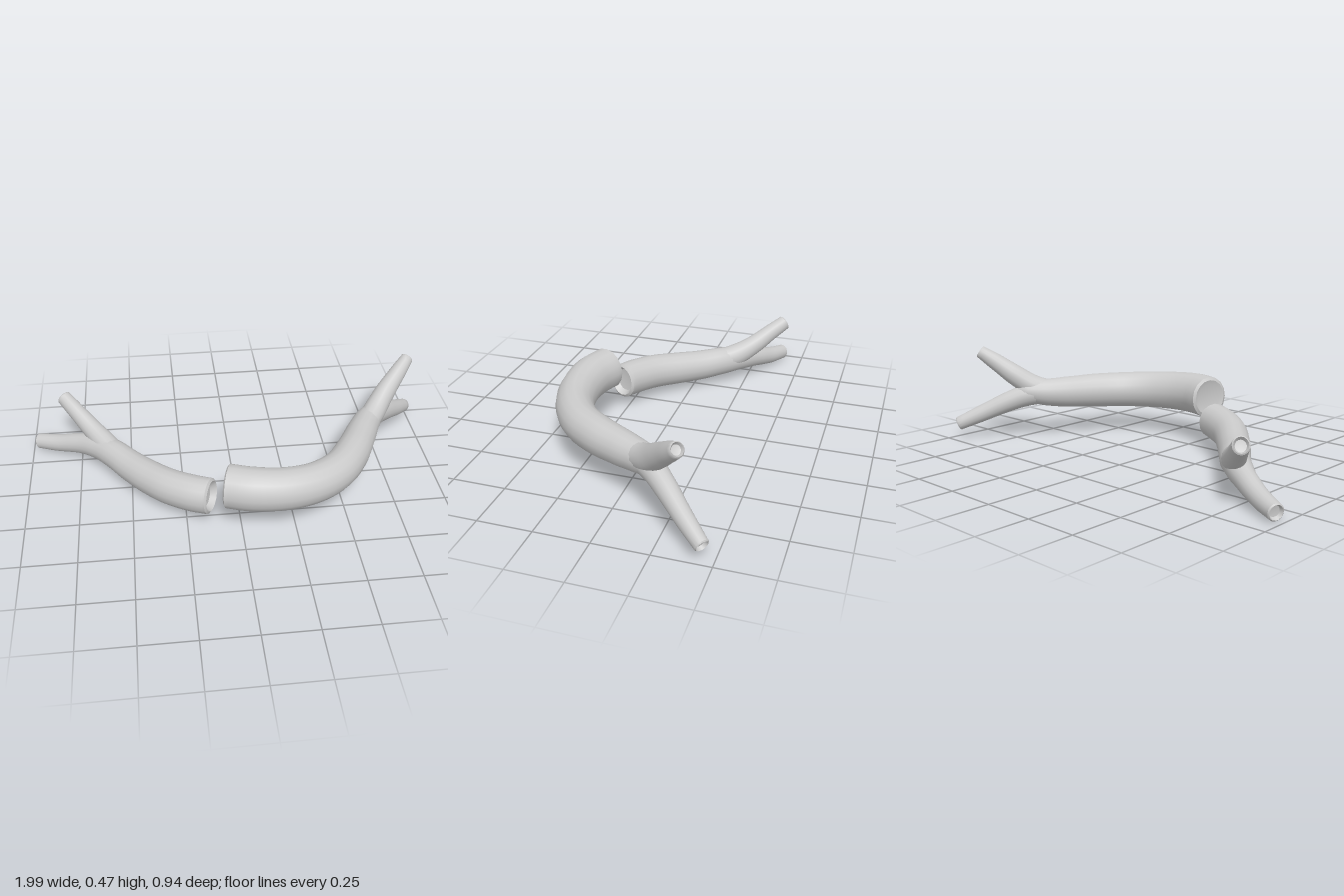
import * as THREE from 'three';
import { toCreasedNormals } from 'three/addons/utils/BufferGeometryUtils.js';

const SIDES = 16;
const UP = new THREE.Vector3(0, 1, 0);

// Sweeps a slightly tall oval along a curve; each stop is [x, y, z, radius].
// Both ends close with a shallow dish set inside a rim.
function sweep(stops, steps, startDish, endDish) {
  const curve = new THREE.CatmullRomCurve3(stops.map(([x, y, z]) => new THREE.Vector3(x, y, z)));
  const radiusAt = (t) => {
    const f = t * (stops.length - 1);
    const i = Math.min(Math.floor(f), stops.length - 2);
    return THREE.MathUtils.lerp(stops[i][3], stops[i + 1][3], THREE.MathUtils.smoothstep(f - i, 0, 1) * 0.4 + (f - i) * 0.6);
  };

  // rings: curve position, inward shift along the curve, radius scale
  const rings = [[0, startDish, 0], [0, startDish * 0.8, 0.65], [0, 0, 0.86], [0, 0.008, 1]];
  for (let i = 1; i < steps; i++) rings.push([i / steps, 0, 1]);
  rings.push([1, -0.005, 1], [1, 0, 0.86], [1, -endDish * 0.8, 0.65], [1, -endDish, 0]);

  const pos = [], index = [];
  for (const [t, shift, scale] of rings) {
    const T = curve.getTangent(t);
    const S = new THREE.Vector3().crossVectors(T, UP).normalize();
    const U = new THREE.Vector3().crossVectors(S, T);
    const c = curve.getPoint(t).addScaledVector(T, shift);
    const r = radiusAt(t) * scale;
    for (let j = 0; j < SIDES; j++) {
      const a = (j / SIDES) * Math.PI * 2;
      const p = c.clone().addScaledVector(S, Math.cos(a) * r * 0.93).addScaledVector(U, Math.sin(a) * r);
      pos.push(p.x, p.y, p.z);
    }
  }
  for (let i = 0; i < rings.length - 1; i++) {
    for (let j = 0; j < SIDES; j++) {
      const k = (j + 1) % SIDES;
      const a = i * SIDES + j, b = i * SIDES + k, c = a + SIDES, d = b + SIDES;
      if (i < rings.length - 2) index.push(a, c, d);
      if (i > 0) index.push(a, d, b);
      if (i === 0) continue;
    }
  }
  const g = new THREE.BufferGeometry();
  g.setAttribute('position', new THREE.Float32BufferAttribute(pos, 3));
  g.setIndex(index);
  return toCreasedNormals(g, 0.7);
}

export function createModel() {
  const model = new THREE.Group();
  model.name = 'forkedVessels';
  const material = new THREE.MeshStandardMaterial({ color: 0xcccccc });

  const addVessel = (name, parts) => {
    const group = new THREE.Group();
    group.name = name;
    for (const [part, stops, steps, startDish, endDish] of parts) {
      const mesh = new THREE.Mesh(sweep(stops, steps, startDish, endDish), material);
      mesh.name = part;
      group.add(mesh);
    }
    model.add(group);
  };

  // Long curved vessel on the left, splitting evenly into two
  addVessel('leftVessel', [
    ['leftTrunk', [
      [-0.07, 0.245, 0.328, 0.104], [0.05, 0.245, 0.366, 0.104], [0.2, 0.238, 0.37, 0.1],
      [0.34, 0.231, 0.332, 0.096], [0.46, 0.227, 0.25, 0.093], [0.55, 0.228, 0.13, 0.09],
      [0.62, 0.23, 0, 0.082], [0.675, 0.235, -0.1, 0.072], [0.735, 0.243, -0.18, 0.056],
      [0.77, 0.248, -0.215, 0.035],
    ], 36, 0.008, 0],
    ['leftUpperBranch', [
      [0.66, 0.235, -0.07, 0.06], [0.72, 0.264, -0.145, 0.06], [0.785, 0.325, -0.215, 0.054],
      [0.86, 0.395, -0.28, 0.044], [0.923, 0.452, -0.335, 0.033],
    ], 16, 0, 0.02],
    ['leftLowerBranch', [
      [0.66, 0.235, -0.07, 0.06], [0.72, 0.23, -0.16, 0.06], [0.79, 0.198, -0.24, 0.053],
      [0.89, 0.135, -0.35, 0.044], [0.977, 0.078, -0.452, 0.035],
    ], 16, 0, 0.02],
  ]);

  // Shorter vessel on the right; its trunk runs on into the lower branch
  addVessel('rightVessel', [
    ['rightTrunkAndLowerBranch', [
      [-0.133, 0.148, 0.28, 0.087], [-0.22, 0.142, 0.238, 0.088], [-0.32, 0.134, 0.17, 0.086],
      [-0.41, 0.124, 0.078, 0.083], [-0.5, 0.118, -0.03, 0.078], [-0.58, 0.122, -0.13, 0.073],
      [-0.66, 0.116, -0.21, 0.063], [-0.75, 0.095, -0.275, 0.052], [-0.86, 0.063, -0.335, 0.045],
      [-0.973, 0.045, -0.39, 0.039],
    ], 40, 0.035, 0.02],
    ['rightUpperBranch', [
      [-0.56, 0.125, -0.1, 0.06], [-0.62, 0.145, -0.19, 0.06], [-0.69, 0.188, -0.275, 0.051],
      [-0.76, 0.242, -0.35, 0.044], [-0.822, 0.288, -0.418, 0.039],
    ], 16, 0, 0.02],
  ]);

  return model;
}
